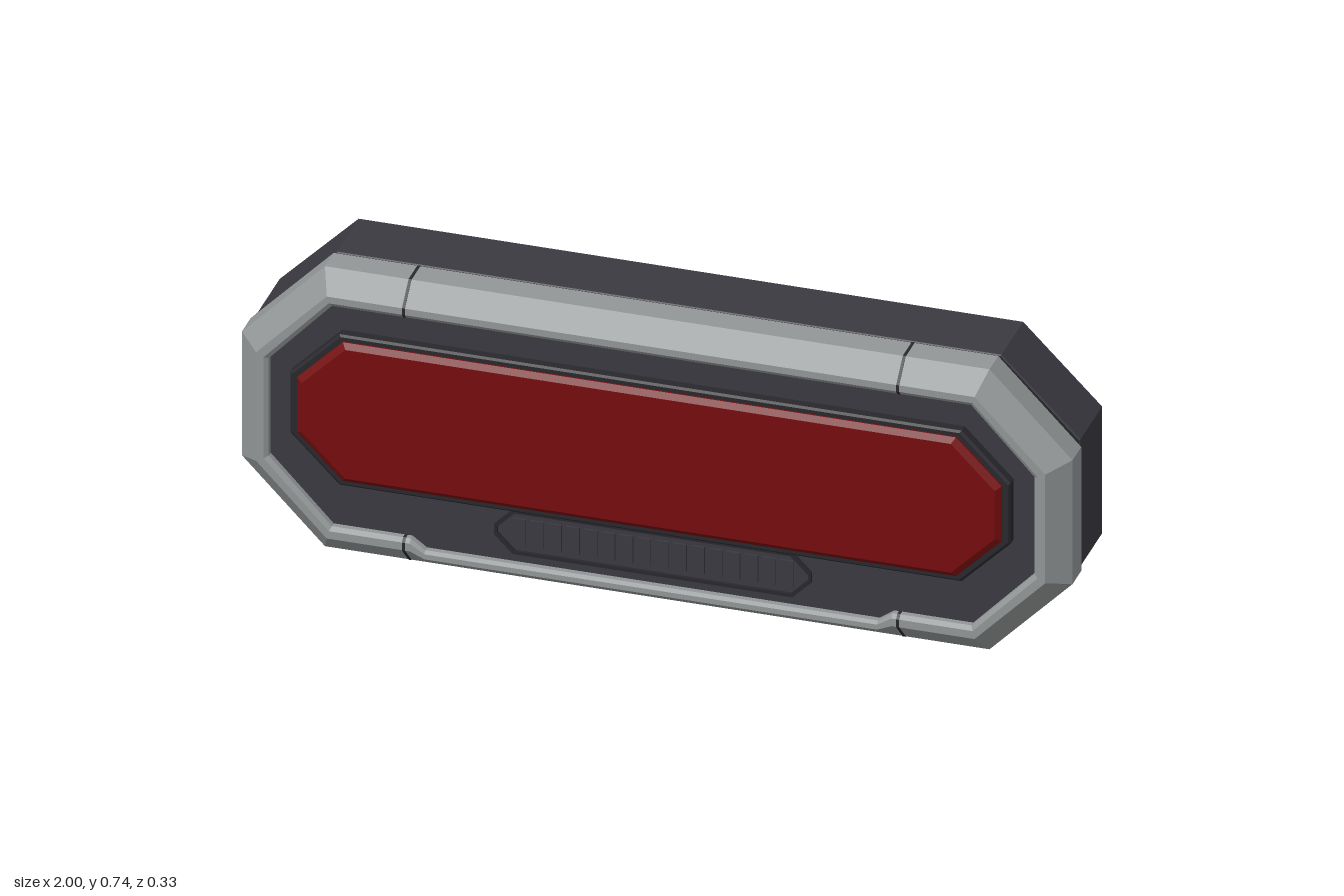
import * as THREE from 'three';

// Eight-sided outline at depth z; a dip lowers the middle of its bottom edge
function outline(hx, a, y0, y1, yl, yh, z, dip = 0) {
  return [
    [-a, y0, z], [-0.58, y0, z], [-0.545, y0 - dip, z], [0.545, y0 - dip, z], [0.58, y0, z], [a, y0, z],
    [hx, yl, z], [hx, yh, z], [a, y1, z], [-a, y1, z], [-hx, yh, z], [-hx, yl, z],
  ];
}

// Plain octagon from half width, bottom, top and corner cuts
function octagon(hx, y0, y1, cx, cy, z) {
  const a = hx - cx;
  return [[-a, y0, z], [a, y0, z], [hx, y0 + cy, z], [hx, y1 - cy, z],
    [a, y1, z], [-a, y1, z], [-hx, y1 - cy, z], [-hx, y0 + cy, z]];
}

// Skin joining outlines from back to front, with optional flat caps
function loft(rings, capped) {
  const pos = [];
  const tri = (a, b, c) => pos.push(...a, ...b, ...c);
  const n = rings[0].length;
  for (let r = 0; r < rings.length - 1; r++) {
    for (let i = 0; i < n; i++) {
      const j = (i + 1) % n;
      const [p, q] = [rings[r], rings[r + 1]];
      tri(p[i], p[j], q[j]);
      tri(p[i], q[j], q[i]);
    }
  }
  if (capped) {
    const back = rings[0], front = rings[rings.length - 1];
    for (let i = 1; i < n - 1; i++) {
      tri(back[0], back[i + 1], back[i]);
      tri(front[0], front[i], front[i + 1]);
    }
  }
  const g = new THREE.BufferGeometry();
  g.setAttribute('position', new THREE.Float32BufferAttribute(pos, 3));
  g.computeVertexNormals();
  return g;
}

export function createModel() {
  const group = new THREE.Group();
  const material = (name, color) => {
    const m = new THREE.MeshStandardMaterial({ color });
    m.name = name;
    return m;
  };
  const charcoal = material('charcoal', 0x3a3940);
  const black = material('black', 0x28272c);
  const grey = material('grey', 0x929697);
  const red = material('red', 0x750c0e);

  const add = (name, geometry, mat, parent = group) => {
    const mesh = new THREE.Mesh(geometry, mat);
    mesh.name = name;
    parent.add(mesh);
    return mesh;
  };

  // Rear housing with softened edges
  add('housing', loft([
    octagon(0.982, 0.02, 0.717, 0.19, 0.19, -0.167),
    octagon(0.99, 0.012, 0.725, 0.19, 0.19, -0.157),
    octagon(0.99, 0.012, 0.725, 0.19, 0.19, 0.006),
    octagon(0.982, 0.02, 0.717, 0.19, 0.19, 0.013),
  ], true), charcoal);

  // Gasket and the narrower neck joining the two halves
  add('neck', loft([
    octagon(0.97, 0.03, 0.705, 0.19, 0.19, 0.01),
    octagon(0.97, 0.03, 0.705, 0.19, 0.19, 0.03),
  ], true), black);
  add('gasket', loft([
    octagon(0.99, 0.01, 0.727, 0.19, 0.19, 0.016),
    octagon(0.99, 0.01, 0.727, 0.19, 0.19, 0.026),
  ], true), black);

  // Bevelled bezel, with a dip along the lower edge
  add('bezel', loft([
    outline(0.93, 0.775, 0.07, 0.665, 0.235, 0.5, 0.025),
    outline(0.995, 0.798, 0.005, 0.73, 0.207, 0.528, 0.025),
    outline(1, 0.8, 0, 0.735, 0.205, 0.53, 0.031),
    outline(1, 0.8, 0, 0.735, 0.205, 0.53, 0.097),
    outline(0.95, 0.78, 0.05, 0.685, 0.225, 0.51, 0.147, 0.015),
    outline(0.932, 0.775, 0.07, 0.668, 0.235, 0.5, 0.147, 0.022),
    outline(0.922, 0.77, 0.08, 0.658, 0.24, 0.495, 0.139, 0.025),
    outline(0.922, 0.77, 0.08, 0.658, 0.24, 0.495, 0.115, 0.025),
  ], false), grey);

  // Thin seams crossing the bezel, top and bottom
  const seam = (name, points, x) => {
    const g = new THREE.ExtrudeGeometry(
      new THREE.Shape(points.map(([z, y]) => new THREE.Vector2(-z, y))),
      { depth: 0.007, bevelEnabled: false });
    g.rotateY(Math.PI / 2);
    add(name, g, black).position.x = x - 0.0035;
  };
  for (const x of [-0.595, 0.595]) {
    seam('topSeam', [[0.028, 0.725], [0.03, 0.736], [0.0975, 0.736], [0.148, 0.6855],
      [0.148, 0.668], [0.139, 0.657], [0.125, 0.657], [0.125, 0.67], [0.09, 0.725]], x);
    seam('bottomSeam', [[0.028, 0.01], [0.03, -0.001], [0.0975, -0.001], [0.148, 0.0495],
      [0.148, 0.07], [0.139, 0.081], [0.125, 0.081], [0.125, 0.06], [0.09, 0.01]], x);
  }

  // Recessed front panel
  add('frontPanel', loft([
    octagon(0.94, 0.045, 0.67, 0.165, 0.175, 0.03),
    octagon(0.94, 0.045, 0.67, 0.165, 0.175, 0.125),
  ], true), charcoal);

  // Dark frame and raised red lens
  add('lensFrame', loft([
    octagon(0.867, 0.197, 0.592, 0.118, 0.118, 0.12),
    octagon(0.867, 0.197, 0.592, 0.118, 0.118, 0.147),
    octagon(0.862, 0.202, 0.587, 0.117, 0.117, 0.152),
  ], true), black);
  add('lens', loft([
    octagon(0.848, 0.213, 0.577, 0.11, 0.11, 0.15),
    octagon(0.848, 0.213, 0.577, 0.11, 0.11, 0.156),
    octagon(0.835, 0.226, 0.564, 0.106, 0.106, 0.167),
  ], true), red);

  // Slatted grille below the lens
  const grille = new THREE.Group();
  grille.name = 'grille';
  group.add(grille);
  add('grilleRim', loft([
    octagon(0.382, 0.077, 0.192, 0.045, 0.045, 0.12),
    octagon(0.382, 0.077, 0.192, 0.045, 0.045, 0.133),
    octagon(0.374, 0.085, 0.184, 0.042, 0.042, 0.133),
    octagon(0.374, 0.085, 0.184, 0.042, 0.042, 0.12),
  ], false), black, grille);
  for (let i = 0; i < 16; i++) {
    const slat = add('grilleSlat', new THREE.BoxGeometry(0.032, 0.07, 0.012), charcoal, grille);
    slat.position.set((i - 7.5) * 0.043, 0.1345, 0.125);
  }

  return group;
}
